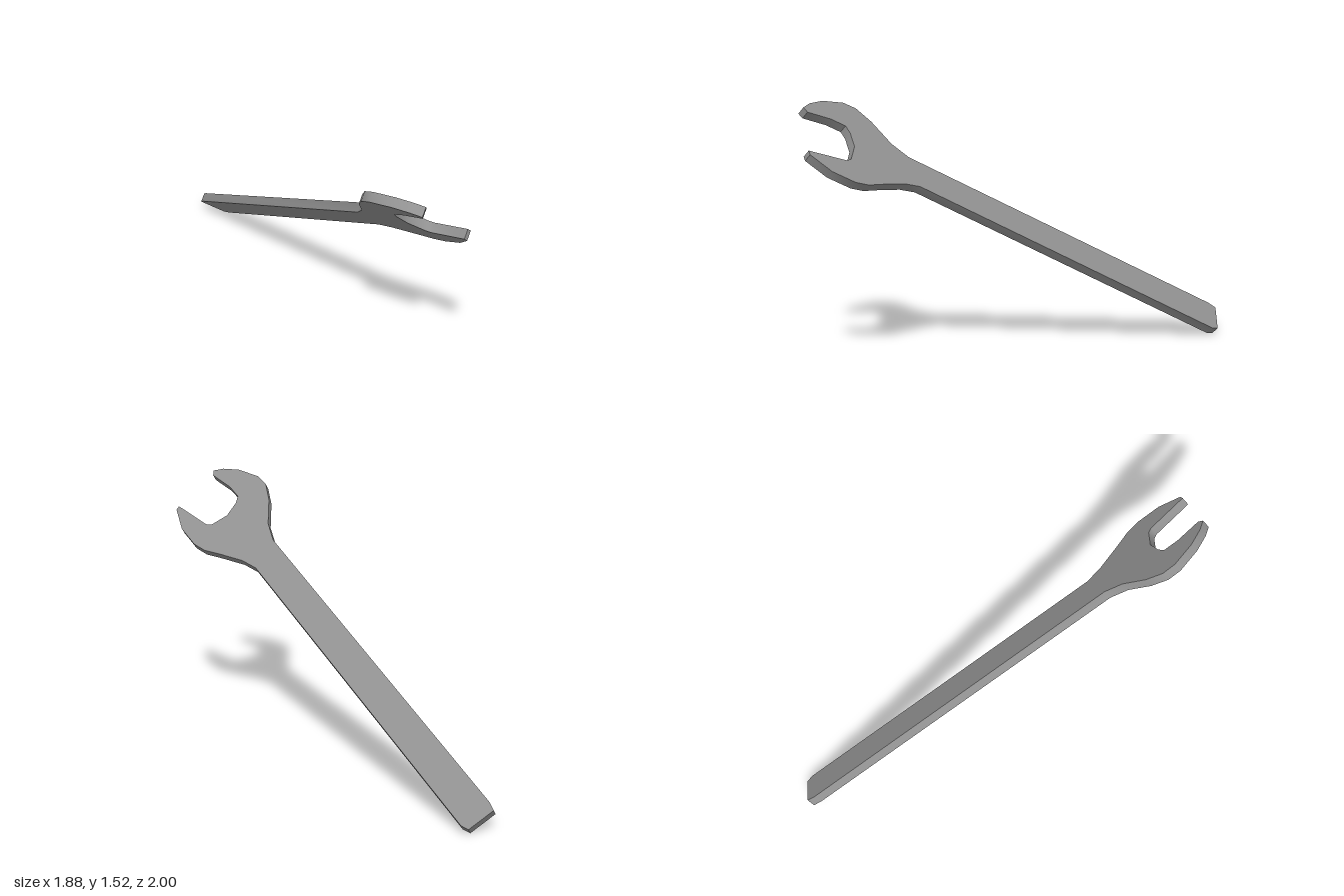
import * as THREE from 'three';
import { toCreasedNormals } from 'three/addons/utils/BufferGeometryUtils.js';

const THICKNESS = 0.055;

// Outline in the tool's own plane: [along the handle, across it]
const handleRight = [[-1.094, 0.08], [-1.05, 0.098], [1.027, 0.092]];
const shortJaw = [
  [1.125, 0.127], [1.255, 0.206], [1.345, 0.265], [1.425, 0.291], [1.569, 0.293], [1.708, 0.247],
  [1.719, 0.222],
];
const mouth = [
  [1.487, 0.159], [1.465, 0.133], [1.453, 0.028], [1.488, -0.06], [1.52, -0.096], [1.612, -0.094],
];
const longJaw = [
  [1.755, -0.06], [1.783, -0.08], [1.75, -0.134], [1.676, -0.203], [1.55, -0.268], [1.47, -0.273],
  [1.365, -0.228], [1.228, -0.132],
];
const handleLeft = [[1.112, -0.093], [-1.04, -0.099], [-1.094, -0.088]];

export function createModel() {
  const group = new THREE.Group();
  group.name = 'openEndedWrench';

  // Flat plate: handle and forked head in one piece
  const outline = [...handleRight, ...shortJaw, ...mouth, ...longJaw, ...handleLeft];
  const shape = new THREE.Shape(outline.map(([u, v]) => new THREE.Vector2(u, v)));
  const plate = new THREE.ExtrudeGeometry(shape, { depth: THICKNESS, bevelEnabled: false });
  const geometry = toCreasedNormals(plate, THREE.MathUtils.degToRad(40));

  // Lean the plate: handle direction, width direction, and the face normal
  const along = new THREE.Vector3(0.574, 0.479, 0.665).normalize();
  const across = new THREE.Vector3(0.79, -0.54, -0.29);
  across.addScaledVector(along, -across.dot(along)).normalize();
  const normal = new THREE.Vector3().crossVectors(along, across);
  geometry.applyMatrix4(new THREE.Matrix4().makeBasis(along, across, normal));

  // Centre on x and z, rest on the floor
  geometry.computeBoundingBox();
  const { min, max } = geometry.boundingBox;
  geometry.translate(-(min.x + max.x) / 2, -min.y, -(min.z + max.z) / 2);

  const wrench = new THREE.Mesh(geometry, new THREE.MeshStandardMaterial({ color: 0x919191 }));
  wrench.name = 'handleAndJaws';
  group.add(wrench);
  return group;
}
